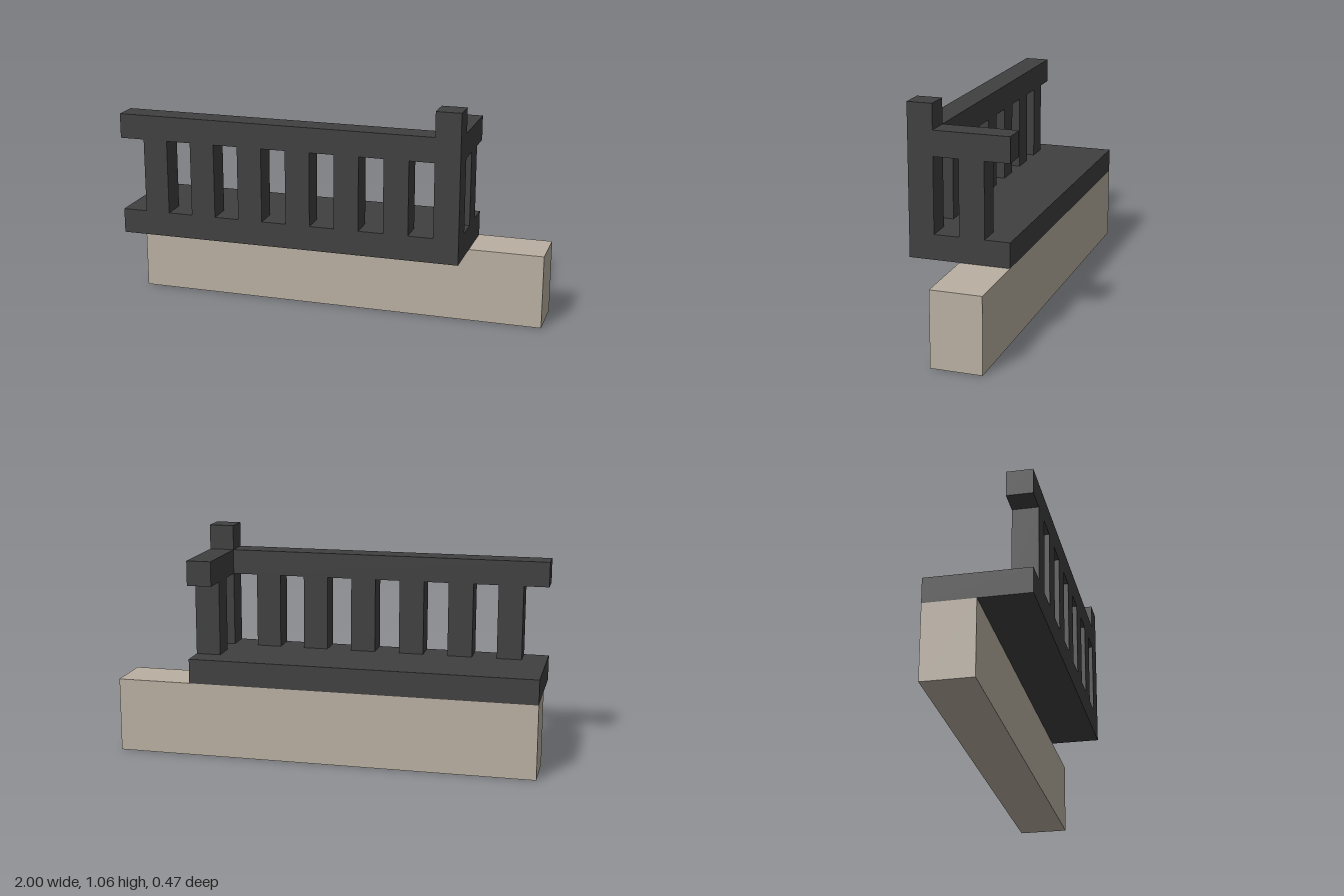
import * as THREE from 'three';

// Everything sits on a square module: 17 modules span the full length.
const U = 2 / 17;

export function createModel() {
  const group = new THREE.Group();
  group.name = 'balconyRailing';

  const darkMetal = new THREE.MeshStandardMaterial({ color: 0x404040 });
  darkMetal.name = 'dark metal';
  const paleStone = new THREE.MeshStandardMaterial({ color: 0xbab0a2 });
  paleStone.name = 'pale stone';

  // Box from its minimum corner and size, in modules (x from the right end, z from the back).
  const block = (name, material, [x, y, z], [w, h, d]) => {
    const mesh = new THREE.Mesh(new THREE.BoxGeometry(w * U, h * U, d * U), material);
    mesh.name = name;
    mesh.position.set((x + w / 2) * U - 1, (y + h / 2) * U, (z + d / 2 - 2) * U);
    group.add(mesh);
  };

  // Supporting wall and floor slab
  block('wall', paleStone, [0, 0, 0], [17, 3, 2]);
  block('floorSlab', darkMetal, [0, 3, 0], [14, 1, 4]);

  // Corner post and the two handrails meeting at it
  block('cornerPost', darkMetal, [13, 4, 3], [1, 5, 1]);
  block('frontRail', darkMetal, [0, 7, 3], [13, 1, 1]);
  block('sideRail', darkMetal, [13, 7, 0], [1, 1, 3]);

  // Balusters
  for (let x = 1; x < 13; x += 2) block('frontBaluster', darkMetal, [x, 4, 3], [1, 3, 1]);
  block('sideBaluster', darkMetal, [13, 4, 1], [1, 3, 1]);

  return group;
}
